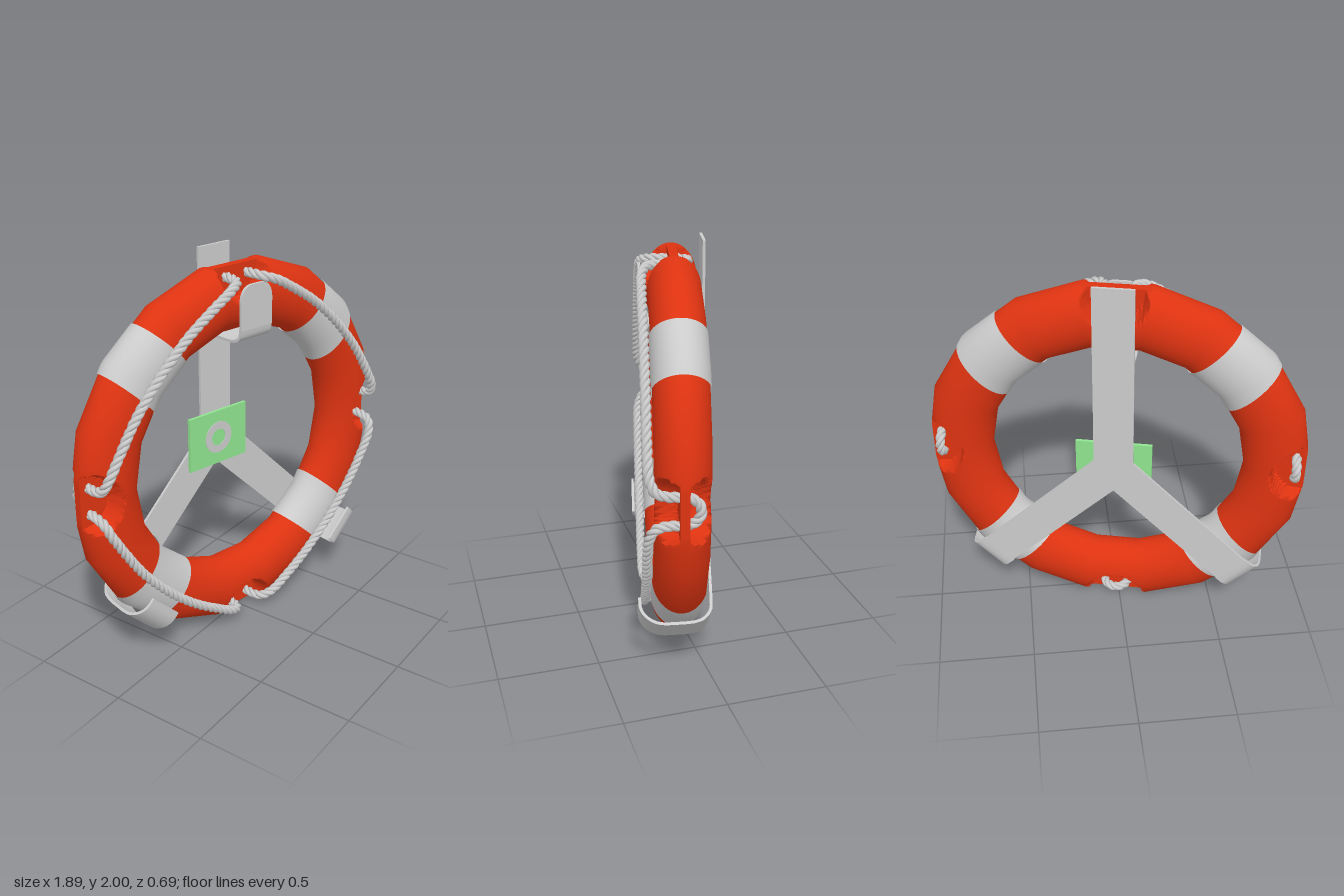
import * as THREE from 'three';
import { ParametricGeometry } from 'three/addons/geometries/ParametricGeometry.js';
import { toCreasedNormals } from 'three/addons/utils/BufferGeometryUtils.js';

const RAD = Math.PI / 180;
const R = 0.805, A = 0.165, B = 0.13;      // ring radius, tube half-width and half-depth
const RING_Z = -0.025, ARM_Z = -0.17, ARM_W = 0.2;

const grey = new THREE.MeshStandardMaterial({ color: 0xcccccc });
const greyThin = new THREE.MeshStandardMaterial({ color: 0xcccccc, side: THREE.DoubleSide });
const red = new THREE.MeshStandardMaterial({ color: 0xdd3311 });
const green = new THREE.MeshStandardMaterial({ color: 0x90e490 });

function add(parent, name, geometry, material, x = 0, y = 0, z = 0) {
  const mesh = new THREE.Mesh(geometry, material);
  mesh.name = name;
  mesh.position.set(x, y, z);
  parent.add(mesh);
  return mesh;
}

// The ring follows an 18-sided polygon: radius factor at angle phi
function facet(phi) {
  const step = 20 * RAD;
  const m = (((phi + step / 2) % step) + step) % step - step / 2;
  return 1 / Math.cos(m);
}

// Point expressed relative to the nearest of the four rope recesses
function recessCoords(x, y) {
  const along = Math.max(Math.abs(x), Math.abs(y));
  const across = Math.min(Math.abs(x), Math.abs(y));
  return { along, d: Math.hypot(along - 0.945, across) };
}

// Smooth torus shading everywhere outside the recesses
function smoothShade(geometry) {
  const p = geometry.attributes.position, n = geometry.attributes.normal;
  const v = new THREE.Vector3();
  for (let i = 0; i < p.count; i++) {
    const x = p.getX(i), y = p.getY(i), z = p.getZ(i);
    if (recessCoords(x, y).d < 0.166) continue;
    const phi = Math.atan2(-x, y);
    const c = (Math.hypot(x, y) / facet(phi) - R) / (A * A);
    v.set(-Math.sin(phi) * c, Math.cos(phi) * c, z / (B * B)).normalize();
    n.setXYZ(i, v.x, v.y, v.z);
  }
  return geometry;
}

// Ring body with a web left standing between front and back scoops
function ringGeometry() {
  const geo = new ParametricGeometry((u, v, target) => {
    const phi = u * 2 * Math.PI, t = v * 2 * Math.PI;
    const r = (R + A * Math.cos(t)) * facet(phi);
    let x = -r * Math.sin(phi), y = r * Math.cos(phi), z = B * Math.sin(t);
    const { d } = recessCoords(x, y);
    if (d < 0.165) {
      const limit = 0.022 + Math.max(0, (d - 0.14) / 0.025) * 0.12;
      z = Math.sign(z) * Math.min(Math.abs(z), limit);
      x = THREE.MathUtils.clamp(x, -0.963, 0.963);
      y = THREE.MathUtils.clamp(y, -0.963, 0.963);
    }
    target.set(x, y, z);
  }, 360, 72);
  return smoothShade(toCreasedNormals(geo, 0.6));
}

// Reflective sleeve with parallel ends around the tube
function bandGeometry(angle) {
  const geo = new ParametricGeometry((u, v, target) => {
    const t = v * 2 * Math.PI, base = R + (A + 0.006) * Math.cos(t);
    const phi = angle + Math.asin((u - 0.5) * 0.28 / base);
    const r = base * facet(phi);
    target.set(-r * Math.sin(phi), r * Math.cos(phi), (B + 0.006) * Math.sin(t));
  }, 12, 48);
  return smoothShade(geo);
}

// Bent flat strap: path of [radius, z] pairs, extruded across its width
function strapGeometry(path, width) {
  const curve = new THREE.CatmullRomCurve3(path.map(([r, z]) => new THREE.Vector3(r, z, 0)));
  const outer = [], inner = [];
  for (let i = 0; i <= 24; i++) {
    const p = curve.getPoint(i / 24), t = curve.getTangent(i / 24);
    outer.push(new THREE.Vector2(p.x + t.y * 0.007, p.y - t.x * 0.007));
    inner.unshift(new THREE.Vector2(p.x - t.y * 0.007, p.y + t.x * 0.007));
  }
  const geo = new THREE.ExtrudeGeometry(new THREE.Shape([...outer, ...inner]), { depth: width, bevelEnabled: false });
  geo.translate(0, 0, -width / 2);
  geo.applyMatrix4(new THREE.Matrix4().makeBasis(
    new THREE.Vector3(0, 1, 0), new THREE.Vector3(0, 0, 1), new THREE.Vector3(1, 0, 0)));
  return toCreasedNormals(geo, 0.6);
}

// Closed rope path: over the front of the ring, looping through each web
function ropeCurve() {
  const half = [[2.6, 0.915, -0.085], [4.2, 0.915, -0.04], [4.4, 0.915, 0.04], [5.5, 0.912, 0.1],
    [9, 0.9, 0.128], [18, 0.86, 0.135], [30, 0.83, 0.135]];
  const quarter = [[0, 0.915, -0.1], ...half, [45, 0.815, 0.135],
    ...half.slice().reverse().map(([a, r, z]) => [90 - a, r, z])];
  const points = [];
  for (let q = 0; q < 4; q++) {
    for (const [a, r, z] of quarter) {
      const phi = (a + 90 * q) * RAD;
      points.push(new THREE.Vector3(-r * Math.sin(phi), r * Math.cos(phi), z));
    }
  }
  const curve = new THREE.CatmullRomCurve3(points, true);
  curve.arcLengthDivisions = 2000;
  return curve;
}

// Three strands twisted around the rope path
function addRope(parent) {
  const rope = new THREE.Group();
  rope.name = 'grabRope';
  parent.add(rope);
  const curve = ropeCurve(), count = 720, turns = 56;
  const strands = [[], [], []];
  for (let i = 0; i < count; i++) {
    const p = curve.getPointAt(i / count), t = curve.getTangentAt(i / count);
    const n = new THREE.Vector3(p.x, p.y, 0).normalize();
    n.addScaledVector(t, -n.dot(t)).normalize();
    const b = new THREE.Vector3().crossVectors(t, n);
    strands.forEach((list, k) => {
      const a = (i / count * turns + k / 3) * 2 * Math.PI;
      list.push(p.clone().addScaledVector(n, 0.0125 * Math.cos(a)).addScaledVector(b, 0.0125 * Math.sin(a)));
    });
  }
  for (const list of strands) {
    const path = new THREE.CatmullRomCurve3(list, true);
    path.arcLengthDivisions = 2000;
    add(rope, 'ropeStrand', new THREE.TubeGeometry(path, count, 0.0135, 6, true), grey);
  }
}

export function createModel() {
  const model = new THREE.Group();
  model.name = 'lifebuoyOnBracket';
  const body = new THREE.Group();
  body.name = 'lifebuoyAndBracket';
  body.position.y = 0.97;
  body.rotation.y = -0.23;
  model.add(body);

  // Ring and its four sleeves
  add(body, 'buoyRing', ringGeometry(), red, 0, 0, RING_Z);
  for (let i = 0; i < 4; i++) {
    add(body, 'reflectiveBand', bandGeometry((45 + 90 * i) * RAD), greyThin, 0, 0, RING_Z);
  }
  addRope(body);

  // Three flat arms meeting at the centre
  const bracket = new THREE.Group();
  bracket.name = 'wallBracket';
  body.add(bracket);
  const arm = (length) => new THREE.BoxGeometry(ARM_W, length, 0.014).translate(0, length / 2, 0);
  add(bracket, 'upperArm', arm(1.03), grey, 0, 0, ARM_Z);
  const lowerHook = [[0.89, ARM_Z], [0.95, -0.163], [0.995, -0.12], [1.01, 0], [1.005, 0.09],
    [0.97, 0.145], [0.93, 0.167], [0.88, 0.17]];
  for (const side of [-1, 1]) {
    add(bracket, 'lowerArm', arm(0.9), grey, 0, 0, ARM_Z).rotation.z = side * 135 * RAD;
    add(bracket, 'lowerHook', strapGeometry(lowerHook, 0.21), grey).rotation.z = side * 135 * RAD;
  }

  // Upper hook: passes under the inner rim and rises in front with a rounded tongue
  const upperHook = [[0.7, ARM_Z], [0.65, -0.16], [0.618, -0.11], [0.612, 0], [0.618, 0.09],
    [0.64, 0.128], [0.69, 0.14]];
  add(bracket, 'upperHook', strapGeometry(upperHook, ARM_W), grey);
  const tongue = new THREE.Shape();
  tongue.moveTo(-0.1, 0.68);
  tongue.lineTo(0.1, 0.68);
  tongue.lineTo(0.1, 0.81);
  tongue.bezierCurveTo(0.1, 0.87, 0.07, 0.9, 0.03, 0.9);
  tongue.lineTo(-0.03, 0.9);
  tongue.bezierCurveTo(-0.07, 0.9, -0.1, 0.87, -0.1, 0.81);
  add(bracket, 'upperHookTongue',
    new THREE.ExtrudeGeometry(tongue, { depth: 0.014, bevelEnabled: false }), grey, 0, 0, 0.133);

  // Sign plate with a plain ring on it
  add(bracket, 'signPlate', new THREE.BoxGeometry(0.385, 0.3, 0.016), green, 0, 0, -0.152);
  const disc = new THREE.Shape().absarc(0, 0, 0.088, 0, Math.PI * 2);
  disc.holes.push(new THREE.Path().absarc(0, 0, 0.046, 0, Math.PI * 2, true));
  add(bracket, 'signRing',
    new THREE.ExtrudeGeometry(disc, { depth: 0.004, bevelEnabled: false, curveSegments: 32 }), grey, 0, 0, -0.145);

  return model;
}
